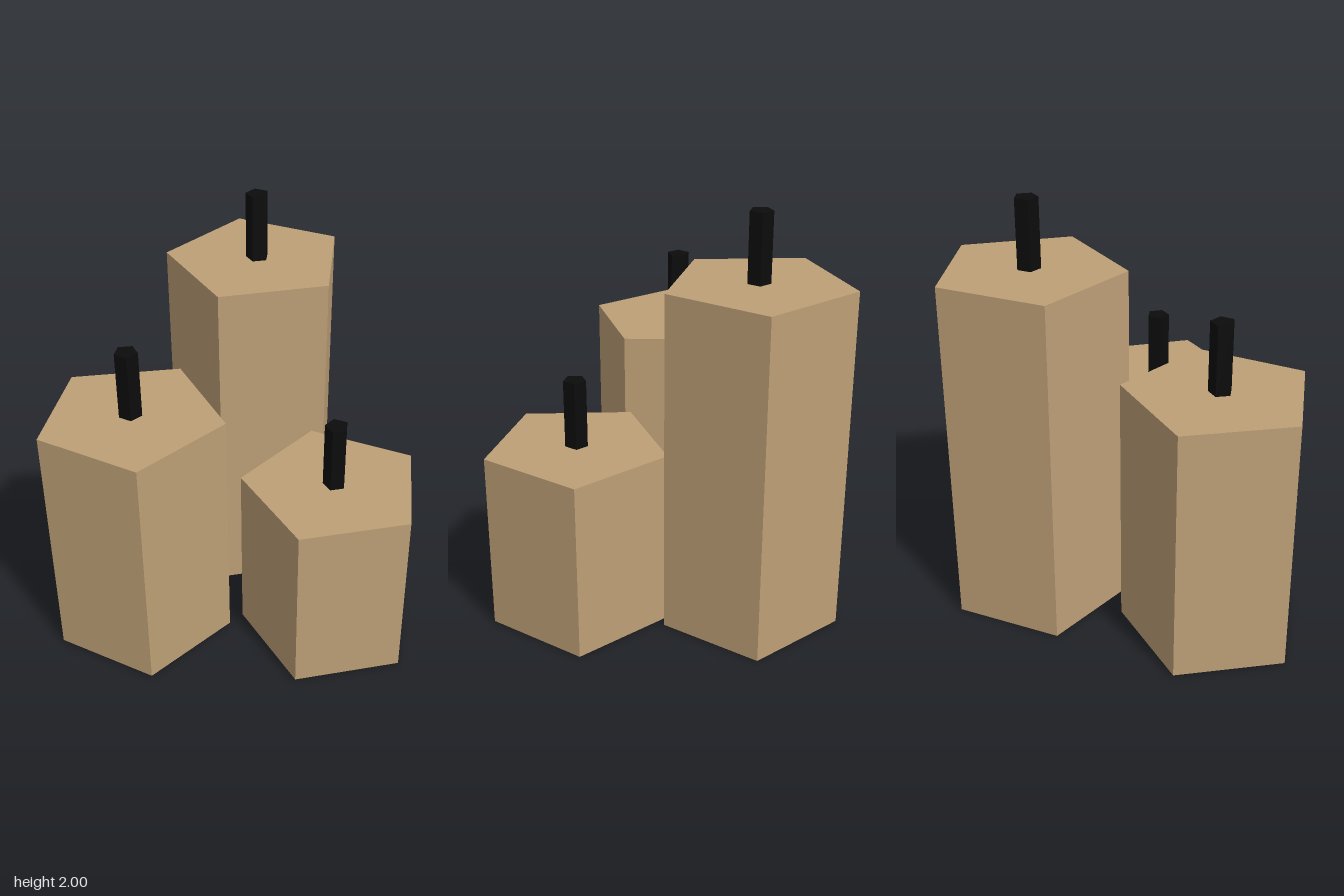
import * as THREE from 'three';

export function createModel() {
  const group = new THREE.Group();
  const wax = new THREE.MeshStandardMaterial({ name: 'tan wax', color: 0xbd9f76, flatShading: true });
  const black = new THREE.MeshStandardMaterial({ name: 'black wick', color: 0x0c0c0c, flatShading: true });

  // Upright five-sided prism between two heights, with a corner towards +z
  const prism = (name, radius, bottom, top, material) => {
    const mesh = new THREE.Mesh(new THREE.CylinderGeometry(radius, radius, top - bottom, 5), material);
    mesh.name = name;
    mesh.position.y = (bottom + top) / 2;
    return mesh;
  };

  // Each candle: a wax body with a wick standing on it
  const candles = [
    { name: 'tallCandle', x: -0.239, z: -0.429, turn: 0.065, bottom: 0, top: 1.677, tip: 2 },
    { name: 'mediumCandle', x: -0.429, z: 0.441, turn: Math.PI, bottom: 0.008, top: 1.233, tip: 1.562 },
    { name: 'shortCandle', x: 0.419, z: 0.056, turn: 0.065, bottom: 0.003, top: 0.879, tip: 1.207 },
  ];
  for (const c of candles) {
    const candle = new THREE.Group();
    candle.name = c.name;
    candle.position.set(c.x, 0, c.z);
    candle.rotation.y = c.turn;
    candle.add(prism('candleBody', 0.438, c.bottom, c.top, wax));
    candle.add(prism('wick', 0.055, c.top - 0.02, c.tip, black));
    group.add(candle);
  }
  return group;
}
